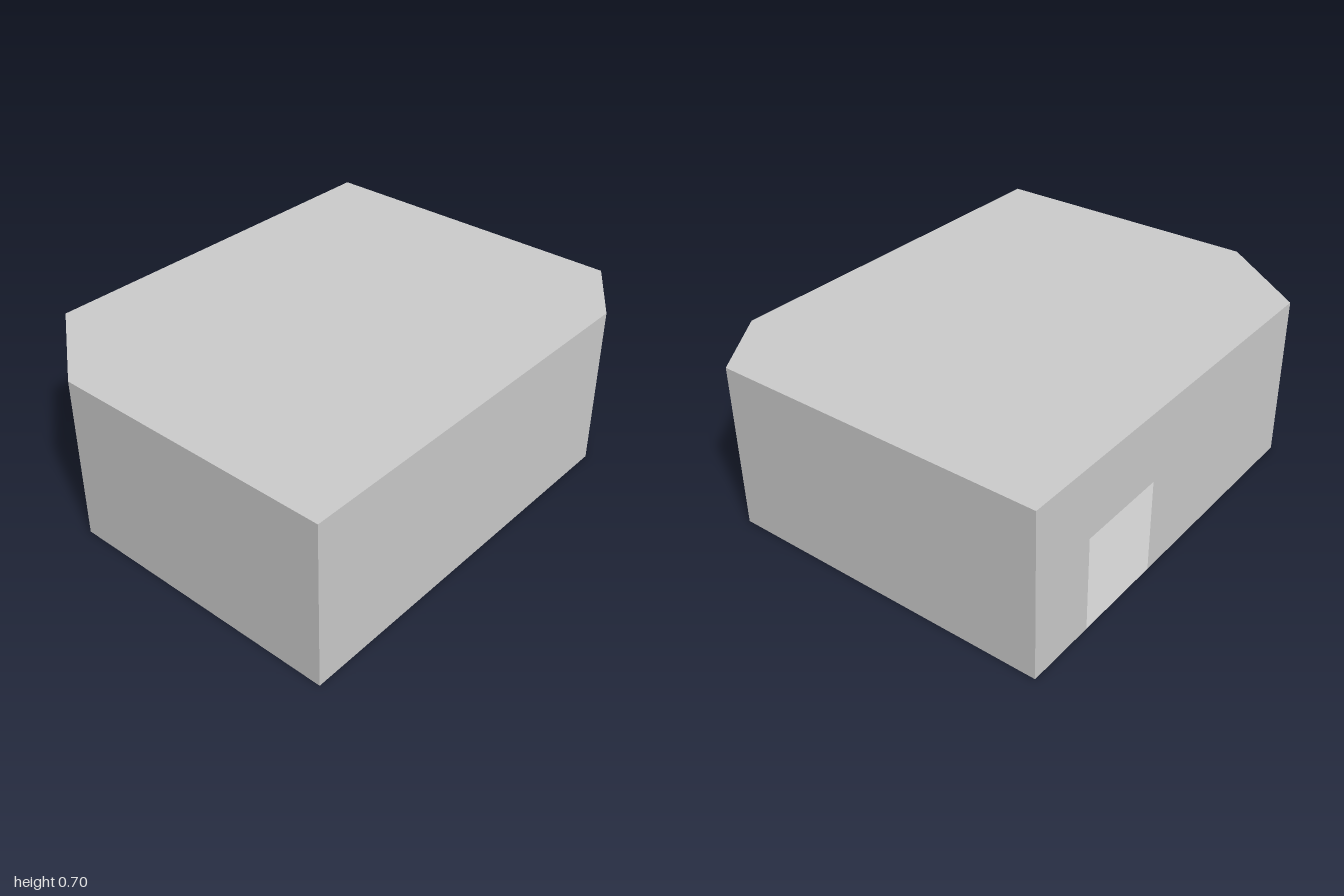
import * as THREE from 'three';

const HEIGHT = 0.7;

// Footprint corners as [x, z], walked so that every wall faces outward
const corners = [
  [-0.4, 1], [0.8, 1], [0.8, -0.7], [0.6, -1], [-0.8, -1], [-0.8, 0.7],
];
const wallNames = ['frontWall', 'leftWall', 'backCornerWall', 'backWall', 'doorWall', 'frontCornerWall'];
const door = { start: 0.3, end: 0.7, height: 0.4 };

const material = new THREE.MeshStandardMaterial({
  color: 0xcccccc, flatShading: true, side: THREE.DoubleSide,
});

function sheet(name, points) {
  const shape = new THREE.Shape(points.map(([x, y]) => new THREE.Vector2(x, y)));
  const mesh = new THREE.Mesh(new THREE.ShapeGeometry(shape), material);
  mesh.name = name;
  return mesh;
}

export function createModel() {
  const model = new THREE.Group();
  model.name = 'building';

  // Floor faces down, roof faces up
  const floor = sheet('floor', corners);
  floor.rotation.x = Math.PI / 2;
  const roof = sheet('roof', corners.map(([x, z]) => [x, -z]));
  roof.rotation.x = -Math.PI / 2;
  roof.position.y = HEIGHT;
  model.add(floor, roof);

  // Thin walls, one per footprint edge; one has a doorway cut from its base
  corners.forEach(([x, z], i) => {
    const [nx, nz] = corners[(i + 1) % corners.length];
    const length = Math.hypot(nx - x, nz - z);
    const doorway = wallNames[i] === 'doorWall'
      ? [[door.start, 0], [door.start, door.height], [door.end, door.height], [door.end, 0]]
      : [];
    const wall = sheet(wallNames[i], [[0, 0], ...doorway, [length, 0], [length, HEIGHT], [0, HEIGHT]]);
    wall.position.set(x, 0, z);
    wall.rotation.y = Math.atan2(z - nz, nx - x);
    model.add(wall);
  });

  return model;
}
